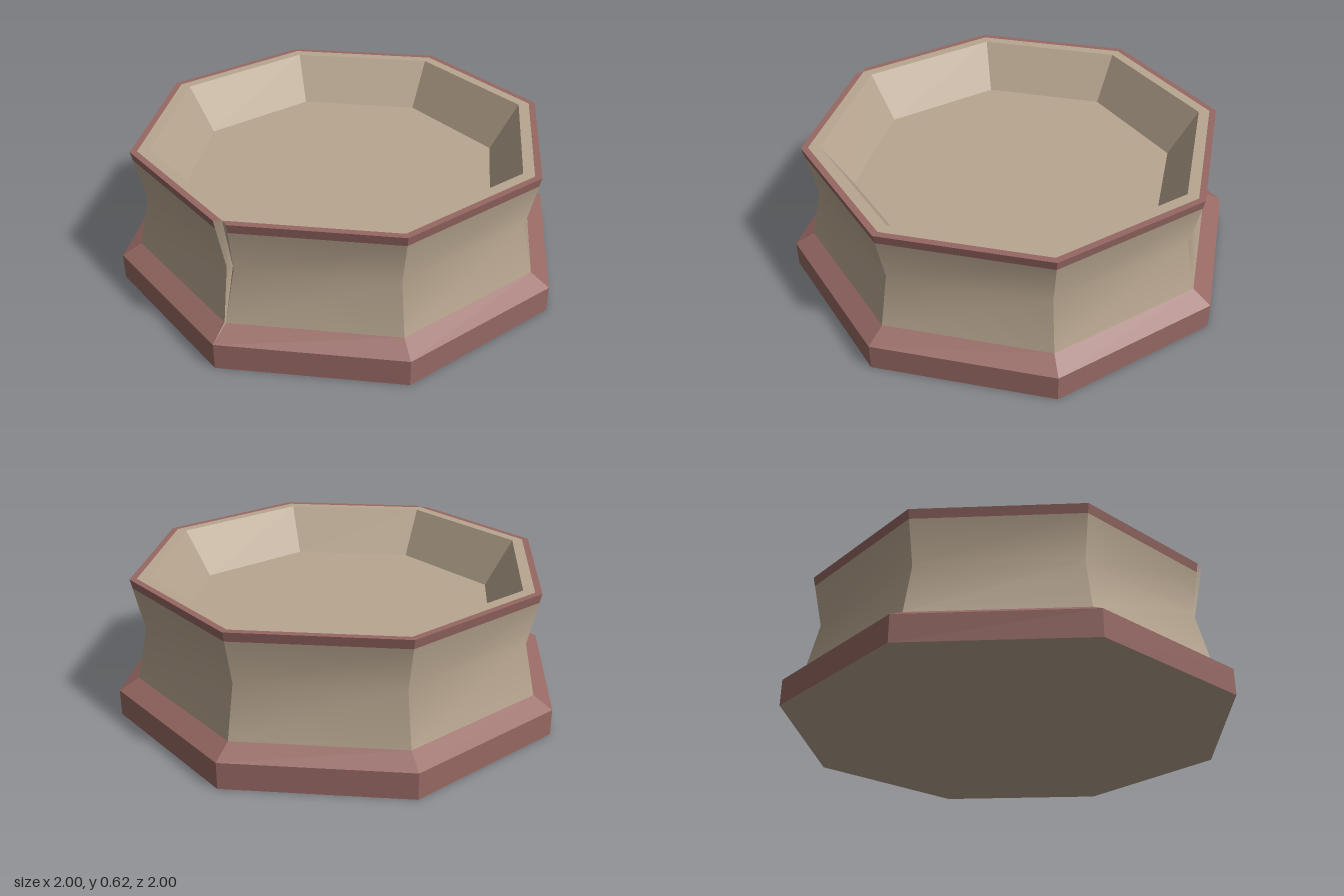
import * as THREE from 'three';

const SIDES = 8;
const FLOOR = 0.413, LEDGE = 0.115, FOOT = 0.165, WAIST = 0.39, BAND = 0.58, TOP = 0.62;

// Half width of the V-shaped crack on the front corner at height y
const crack = (y) => 0.03 * Math.max(0, y - LEDGE) / (TOP - LEDGE);

// Octagonal strip through [radius, y, frontGap] points: hard corners between sides, smooth along the profile
function octagonStrip(profile) {
  const pos = [], index = [];
  for (let k = 0; k < SIDES; k++) {
    const start = pos.length / 3;
    for (const [r, y, gap = 0] of profile) {
      for (const end of [k, k + 1]) {
        if (end % SIDES === 0 && gap > 0) {
          pos.push(end === 0 ? gap : -gap, y, r - gap * Math.tan(Math.PI / SIDES));
        } else {
          const a = (end / SIDES) * Math.PI * 2;
          pos.push(r * Math.sin(a), y, r * Math.cos(a));
        }
      }
    }
    for (let i = 0; i < profile.length - 1; i++) {
      const b = start + i * 2;
      index.push(b, b + 1, b + 3, b, b + 3, b + 2);
    }
  }
  return finish(pos, index);
}

function finish(pos, index) {
  const g = new THREE.BufferGeometry();
  g.setAttribute('position', new THREE.Float32BufferAttribute(pos, 3));
  g.setIndex(index);
  g.computeVertexNormals();
  return g;
}

// One wall of the crack, from its outer lip to the inner valley line
function crackWall(side, profile) {
  const pos = [], index = [];
  for (const [r, y, depth] of profile) {
    const w = crack(y);
    pos.push(side * w, y, r - w * Math.tan(Math.PI / SIDES), 0, y, r - depth);
  }
  for (let i = 0; i < profile.length - 1; i++) {
    const b = i * 2;
    index.push(b, b + 1, b + 3, b, b + 3, b + 2);
  }
  return finish(pos, index);
}

export function createModel() {
  const stone = new THREE.MeshStandardMaterial({ color: 0xb8a690 });
  stone.name = 'tan stone';
  const trim = new THREE.MeshStandardMaterial({ color: 0x966863 });
  trim.name = 'red trim';
  const crackStone = new THREE.MeshStandardMaterial({ color: 0xb8a690, side: THREE.DoubleSide });
  crackStone.name = 'crack stone';

  const model = new THREE.Group();
  model.name = 'octagonalBasin';
  const add = (name, geometry, material) => {
    const mesh = new THREE.Mesh(geometry, material);
    mesh.name = name;
    model.add(mesh);
  };

  // Base slab
  add('underside', octagonStrip([[0, 0], [1, 0]]), stone);
  add('baseSide', octagonStrip([[1, 0], [1, LEDGE]]), trim);
  add('baseBevel', octagonStrip([[1, LEDGE], [0.915, FOOT, crack(FOOT)]]), trim);

  // Pinched body and its rim band
  add('body', octagonStrip([
    [0.915, FOOT, crack(FOOT)], [0.865, WAIST, crack(WAIST)], [0.906, BAND, crack(BAND)],
  ]), stone);
  add('rimBand', octagonStrip([[0.906, BAND, crack(BAND)], [0.915, TOP, crack(TOP)]]), trim);

  // Rim top
  add('rimEdge', octagonStrip([[0.915, TOP, crack(TOP)], [0.885, TOP]]), trim);
  add('rimTop', octagonStrip([[0.885, TOP], [0.835, TOP]]), stone);

  // Bowl
  add('bowlWall', octagonStrip([[0.835, TOP], [0.71, FLOOR]]), stone);
  add('bowlFloor', octagonStrip([[0.71, FLOOR], [0, FLOOR]]), stone);

  // Crack running down the front corner
  const crackProfile = [
    [1, LEDGE, 0], [0.915, FOOT, 0.015], [0.865, WAIST, 0.025], [0.915, TOP, 0.03],
  ];
  add('crackLeft', crackWall(1, crackProfile), crackStone);
  add('crackRight', crackWall(-1, crackProfile), crackStone);

  return model;
}
